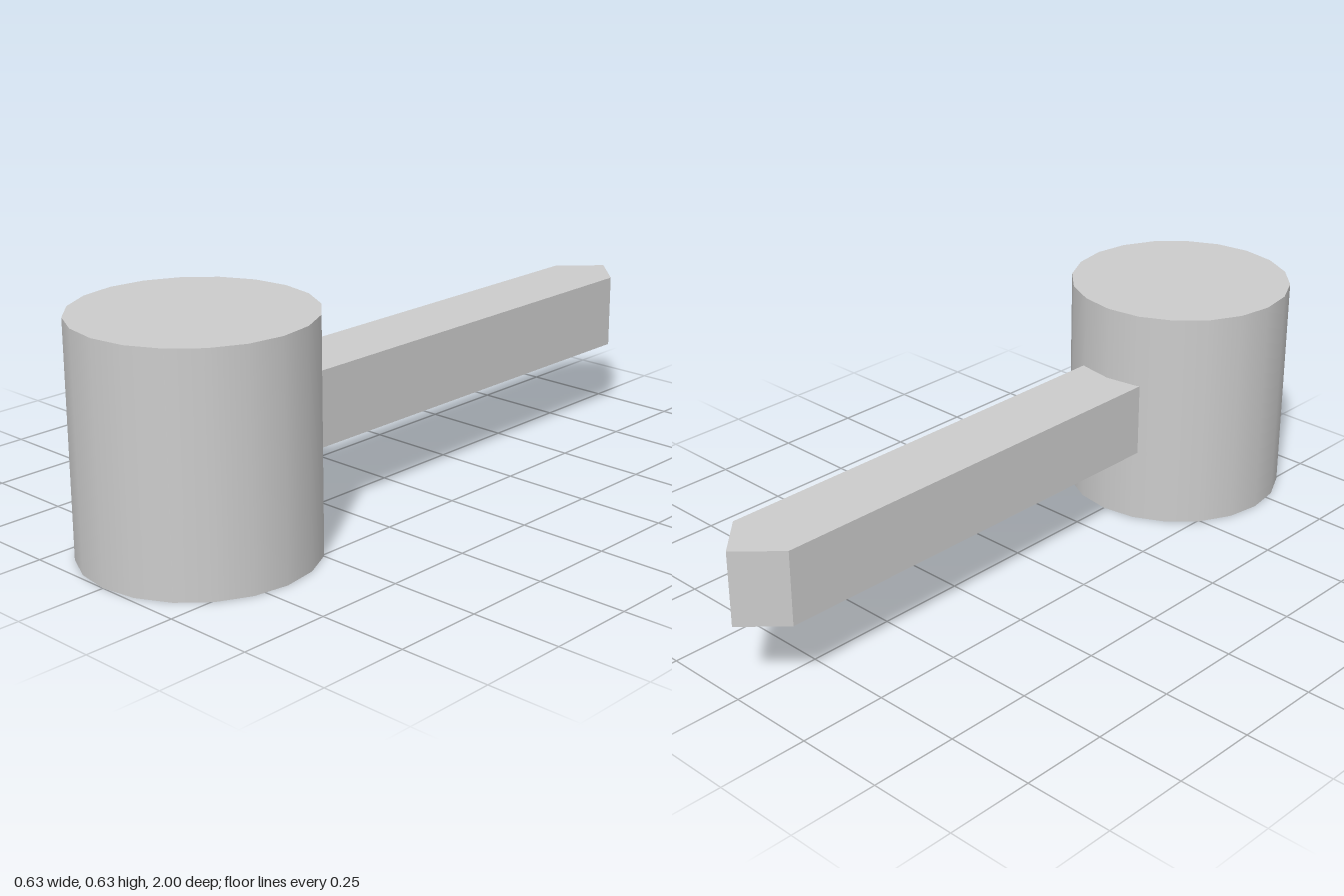
import * as THREE from 'three';

const RADIUS = 0.316, HEIGHT = 0.632, DRUM_Z = 1 - RADIUS;
const HALF_WIDTH = 0.105, BAR_BOTTOM = 0.211, BAR_HEIGHT = 0.21;

export function createModel() {
  const group = new THREE.Group();
  const material = new THREE.MeshStandardMaterial({ color: 0xcccccc });

  // Upright drum at the front, smooth around its wall
  const drum = new THREE.Mesh(new THREE.CylinderGeometry(RADIUS, RADIUS, HEIGHT, 20), material);
  drum.name = 'drum';
  drum.position.set(0, HEIGHT / 2, DRUM_Z);
  group.add(drum);

  // Square bar reaching back from the drum, with a wedge tip; plan drawn as (x, -z)
  const plan = new THREE.Shape([
    [-HALF_WIDTH, -0.45],
    [HALF_WIDTH, -0.45],
    [HALF_WIDTH, 1 - HALF_WIDTH],
    [0, 1],
    [-HALF_WIDTH, 1 - HALF_WIDTH],
  ].map(([x, y]) => new THREE.Vector2(x, y)));
  const barGeometry = new THREE.ExtrudeGeometry(plan, { depth: BAR_HEIGHT, bevelEnabled: false });
  barGeometry.rotateX(-Math.PI / 2);
  const bar = new THREE.Mesh(barGeometry, material);
  bar.name = 'pointedBar';
  bar.position.y = BAR_BOTTOM;
  group.add(bar);

  return group;
}
